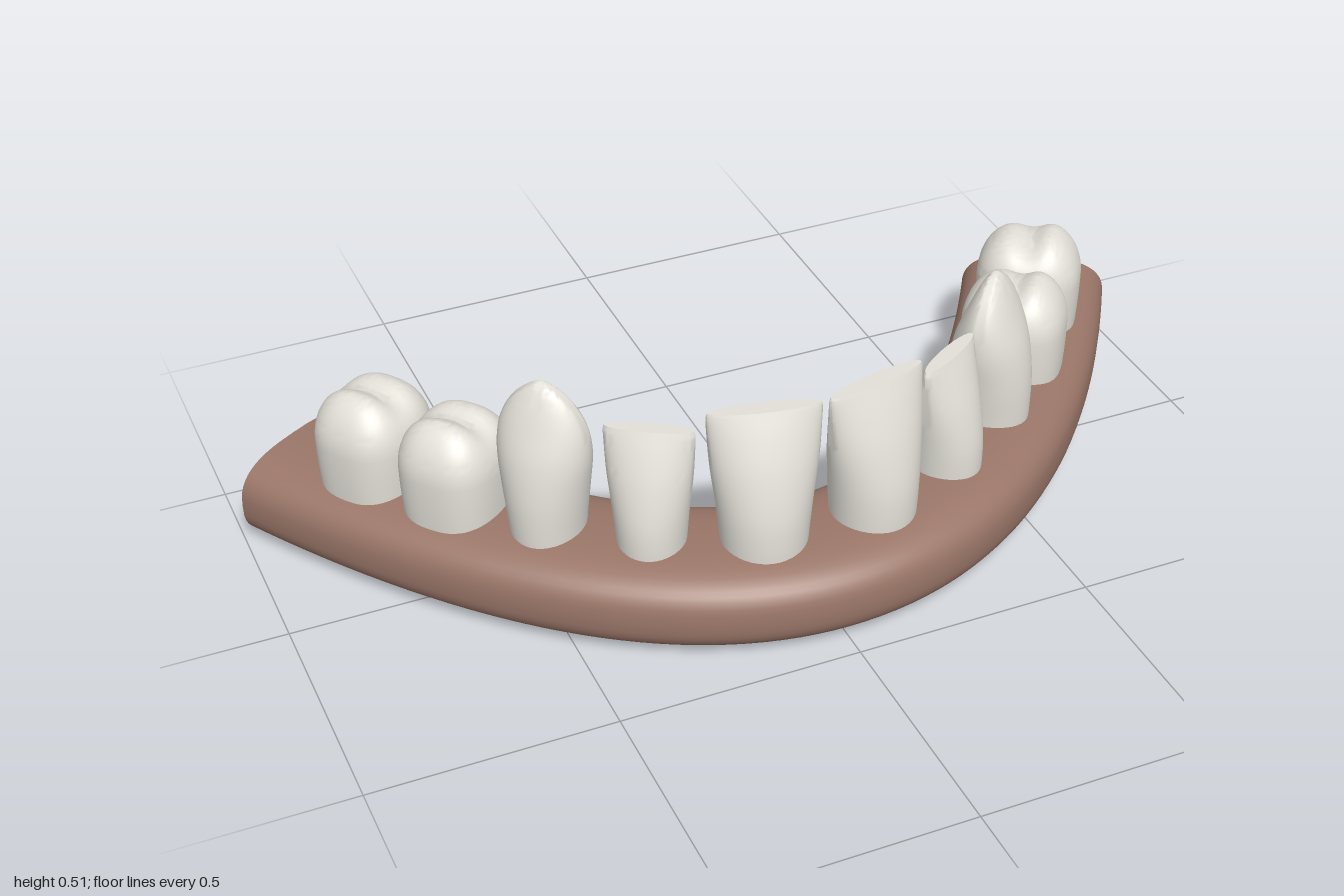
import * as THREE from 'three';
import { toCreasedNormals } from 'three/addons/utils/BufferGeometryUtils.js';

const BEND = 0.961, FRONT = 0.315, END = 0.8625;
const gumMaterial = new THREE.MeshStandardMaterial({ color: 0x9a7668 });
const toothMaterial = new THREE.MeshStandardMaterial({ color: 0xe3e0d8 });

// Parabolic dental arch: centre point and yaw at a given x
const archZ = x => FRONT - BEND * x * x;
const archYaw = x => Math.atan(2 * BEND * x);

// Point on a rounded outline; a higher power gives a squarer shape
function outline(angle, a, b, power) {
  const bend = v => Math.sign(v) * Math.abs(v) ** (2 / power);
  return [a * bend(Math.cos(angle)), b * bend(Math.sin(angle))];
}

// Closed skin over rings of points, with a fan at each end
function loft(rings, crease) {
  const n = rings[0].length, last = rings.length - 1, index = [];
  const points = rings.flat();
  const centre = ring => ring.reduce((s, p) => s.add(p), new THREE.Vector3()).divideScalar(n);
  const bottom = points.push(centre(rings[0])) - 1;
  const top = points.push(centre(rings[last])) - 1;
  for (let j = 0; j < n; j++) {
    const k = (j + 1) % n;
    for (let i = 0; i < last; i++) {
      const a = i * n + j, c = i * n + k;
      index.push(a, a + n, c, c, a + n, c + n);
    }
    index.push(bottom, j, k, top, last * n + k, last * n + j);
  }
  const geometry = new THREE.BufferGeometry().setFromPoints(points);
  geometry.setIndex(index);
  return toCreasedNormals(geometry, crease);
}

// Gum: rounded section swept along the arch
function gumGeometry() {
  const rings = [];
  for (let i = 0; i <= 64; i++) {
    const x = END * (i / 32 - 1), yaw = archYaw(x), ring = [];
    for (let j = 0; j < 48; j++) {
      const [w, h] = outline(j / 48 * Math.PI * 2, 0.16, 0.0925, 2.8);
      ring.push(new THREE.Vector3(x + w * Math.sin(yaw), 0.0925 + h, archZ(x) + w * Math.cos(yaw)));
    }
    rings.push(ring);
  }
  return loft(rings, 0.9);
}

// Front teeth: profile rows are [height, half width, half depth]
function bladeGeometry(profile) {
  const curve = new THREE.CatmullRomCurve3(profile.map(p => new THREE.Vector3(p[1], p[0], p[2])), false, 'centripetal');
  const rings = curve.getPoints(32).map(p => Array.from({ length: 40 }, (_, j) => {
    const [x, z] = outline(j / 40 * Math.PI * 2, p.x, p.z, 2);
    return new THREE.Vector3(x, p.y, z);
  }));
  return loft(rings, 0.8);
}

// Back teeth: squarish wall, then a domed crown with two cusps and a groove between
function molarGeometry(a, b) {
  const rings = [], n = 48;
  const addRing = (scale, height) => rings.push(Array.from({ length: n }, (_, j) => {
    const [x, z] = outline(j / n * Math.PI * 2, a * scale, b * scale, 2.6);
    return new THREE.Vector3(x, height(z / b), z);
  }));
  for (let i = 0; i <= 6; i++) addRing(0.93 + 0.07 * Math.sin(i / 6 * Math.PI / 2), () => 0.13 + 0.15 * i / 6);
  for (let i = 1; i <= 18; i++) {
    const phi = i / 18.6 * Math.PI / 2, lift = Math.sin(phi);
    addRing(Math.cos(phi), w => {
      const groove = 0.03 * Math.exp(-((w / 0.3) ** 2));
      const inner = 0.012 * THREE.MathUtils.smoothstep(-w, -0.2, 0.5);
      return 0.28 + 0.122 * lift - (groove + inner) * lift * lift;
    });
  }
  return loft(rings, 1.2);
}

export function createModel() {
  const model = new THREE.Group();
  const gum = new THREE.Mesh(gumGeometry(), gumMaterial);
  gum.name = 'gum';
  model.add(gum);

  const incisor = [[0.13, 0.083, 0.083], [0.2, 0.088, 0.088], [0.27, 0.095, 0.085], [0.36, 0.106, 0.066],
    [0.43, 0.111, 0.042], [0.478, 0.112, 0.022], [0.485, 0.109, 0.019]];
  const sideIncisor = incisor.map(([y, a, b]) => [0.13 + (y - 0.13) * 0.876, a * 0.79, b * 0.89]);
  const canine = [[0.13, 0.07, 0.083], [0.2, 0.076, 0.088], [0.28, 0.086, 0.087], [0.36, 0.095, 0.074],
    [0.42, 0.088, 0.053], [0.47, 0.062, 0.032], [0.5, 0.03, 0.016], [0.514, 0.004, 0.004]];

  const teeth = [
    ['centralIncisor', 0.117, bladeGeometry(incisor)],
    ['lateralIncisor', 0.318, bladeGeometry(sideIncisor)],
    ['canine', 0.484, bladeGeometry(canine)],
    ['premolar', 0.62, molarGeometry(0.103, 0.11)],
    ['molar', 0.74, molarGeometry(0.104, 0.112)],
  ];
  // Each tooth sits on the arch, mirrored left and right
  for (const [name, x, geometry] of teeth) {
    for (const side of [1, -1]) {
      const tooth = new THREE.Mesh(geometry, toothMaterial);
      tooth.name = name + (side > 0 ? 'Left' : 'Right');
      tooth.position.set(side * x, 0, archZ(x));
      tooth.rotation.y = archYaw(side * x);
      model.add(tooth);
    }
  }
  return model;
}
